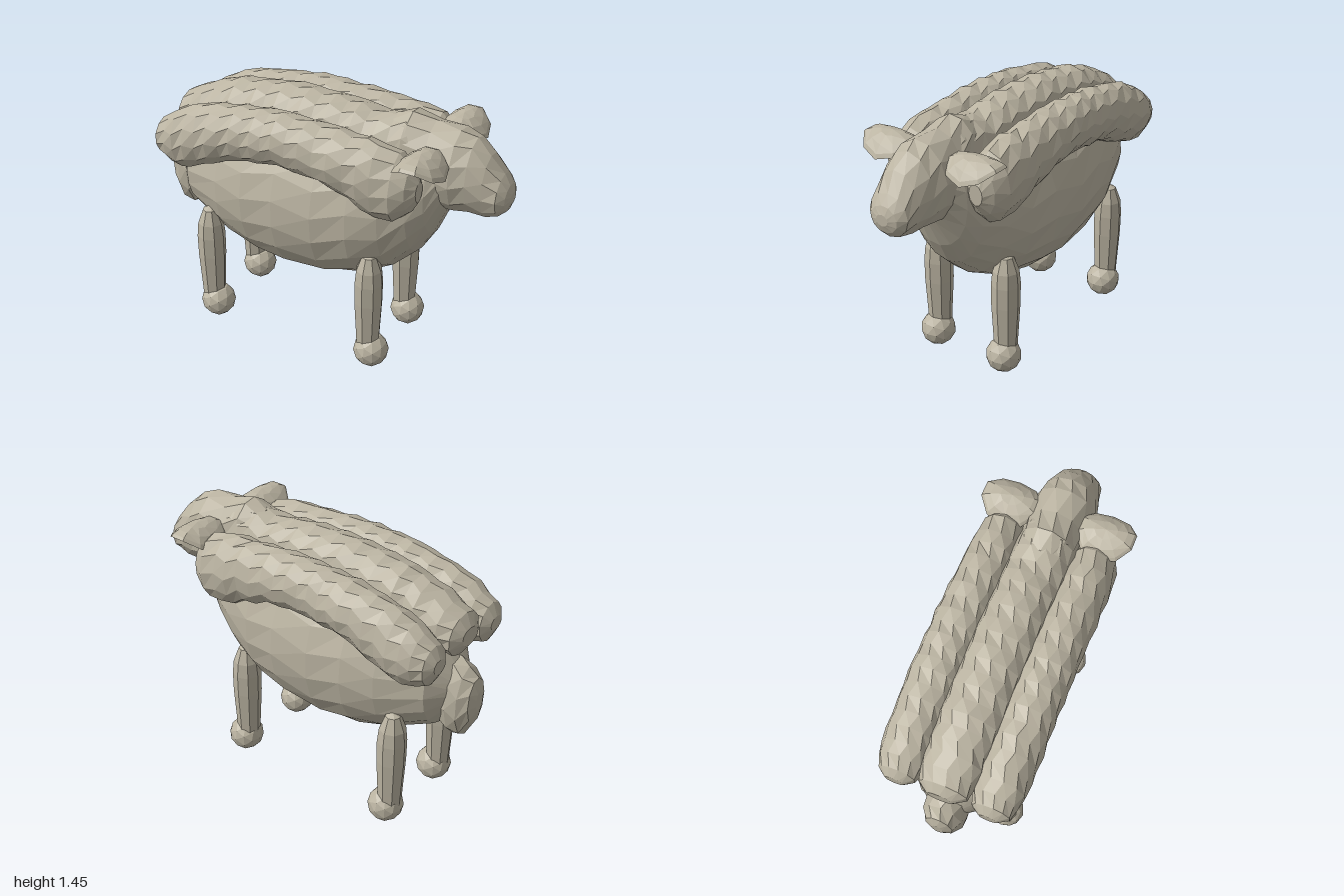
import * as THREE from 'three';

const wool = new THREE.MeshStandardMaterial({ color: 0xbbb4a2, flatShading: true });
wool.name = 'warm grey';

// Skin elliptical rings along x. Each section: [x, bottom, top, halfWidth]
function loft(sections, sides, zOff = 0, bump = () => 1) {
  const pos = [], idx = [], n = sections.length;
  sections.forEach(([x, lo, hi, w], i) => {
    for (let j = 0; j < sides; j++) {
      const a = ((j + (i % 2) * 0.3) / sides) * Math.PI * 2;
      const k = bump(x, a);
      pos.push(x, (lo + hi) / 2 + Math.cos(a) * k * (hi - lo) / 2, zOff + Math.sin(a) * w * k);
    }
  });
  for (let i = 0; i < n - 1; i++) {
    for (let j = 0; j < sides; j++) {
      const a = i * sides + j, b = i * sides + (j + 1) % sides;
      idx.push(a, b, a + sides, b, b + sides, a + sides);
    }
  }
  // end caps
  for (const e of [0, n - 1]) {
    const c = pos.length / 3, [x, lo, hi] = sections[e];
    pos.push(x, (lo + hi) / 2, zOff);
    for (let j = 0; j < sides; j++) {
      const a = e * sides + j, b = e * sides + (j + 1) % sides;
      if (e === 0) idx.push(c, b, a); else idx.push(c, a, b);
    }
  }
  const g = new THREE.BufferGeometry();
  g.setAttribute('position', new THREE.Float32BufferAttribute(pos, 3));
  g.setIndex(idx);
  g.computeVertexNormals();
  return g;
}

// Insert rings between key sections for the lumpy fleece
function refine(keys, step) {
  const out = [];
  for (let i = 0; i < keys.length - 1; i++) {
    const m = Math.max(1, Math.round((keys[i + 1][0] - keys[i][0]) / step));
    for (let k = 0; k < m; k++) out.push(keys[i].map((v, c) => v + (keys[i + 1][c] - v) * k / m));
  }
  out.push(keys[keys.length - 1]);
  return out;
}

export function createModel() {
  const root = new THREE.Group();
  root.name = 'sheep';
  const add = (name, geometry) => {
    const m = new THREE.Mesh(geometry, wool);
    m.name = name;
    root.add(m);
    return m;
  };

  // Barrel body rising into the chest
  add('body', loft([
    [-0.89, 0.74, 0.96, 0.09], [-0.8, 0.6, 1.1, 0.2], [-0.56, 0.48, 1.2, 0.29],
    [-0.38, 0.425, 1.26, 0.33], [-0.18, 0.4, 1.28, 0.348], [0.05, 0.42, 1.28, 0.348],
    [0.24, 0.465, 1.28, 0.325], [0.4, 0.55, 1.3, 0.285], [0.53, 0.67, 1.32, 0.235],
    [0.61, 0.8, 1.34, 0.2], [0.68, 0.96, 1.34, 0.15]], 18));

  // Head and muzzle
  add('head', loft([
    [0.36, 1.15, 1.41, 0.11], [0.46, 1.04, 1.45, 0.15], [0.58, 0.95, 1.42, 0.165],
    [0.72, 0.965, 1.41, 0.172], [0.8, 0.975, 1.38, 0.152], [0.88, 0.97, 1.31, 0.132],
    [0.95, 0.995, 1.22, 0.118], [0.985, 1.03, 1.17, 0.08], [1.0, 1.07, 1.13, 0.035]], 12));

  // Three lumpy fleece rolls
  const lumps = (phase) => (x, a) =>
    1 + 0.035 * Math.sin(x * 43 + phase + 1.3 * Math.sin(a * 2)) + 0.015 * Math.sin(a * 3 + x * 17);
  add('backFleece', loft(refine([
    [-0.92, 1.1, 1.2, 0.07], [-0.88, 1.04, 1.26, 0.13], [-0.74, 1.03, 1.33, 0.155],
    [-0.55, 1.08, 1.395, 0.16], [-0.2, 1.13, 1.435, 0.16], [0.1, 1.12, 1.425, 0.16],
    [0.3, 1.1, 1.4, 0.16], [0.45, 1.08, 1.43, 0.155], [0.58, 1.1, 1.41, 0.13],
    [0.66, 1.15, 1.37, 0.08]], 0.07), 12, 0, lumps(0)));
  for (const s of [1, -1]) {
    add(s > 0 ? 'fleeceRight' : 'fleeceLeft', loft(refine([
      [-0.915, 1.06, 1.14, 0.05], [-0.88, 0.99, 1.2, 0.1], [-0.76, 0.935, 1.28, 0.135],
      [-0.62, 0.98, 1.33, 0.137], [-0.4, 1.07, 1.37, 0.137], [-0.15, 1.1, 1.39, 0.135],
      [0.08, 1.08, 1.38, 0.135], [0.25, 1.02, 1.37, 0.135], [0.4, 0.95, 1.36, 0.137],
      [0.5, 0.96, 1.33, 0.125], [0.57, 1.02, 1.27, 0.09], [0.61, 1.09, 1.2, 0.04]], 0.07),
      12, s * 0.247, lumps(s * 0.6)));
  }

  // Hanging tail
  add('tail', loft([
    [-1.0, 0.74, 0.86, 0.03], [-0.98, 0.66, 0.93, 0.075], [-0.93, 0.57, 0.98, 0.11],
    [-0.87, 0.56, 1.01, 0.118], [-0.81, 0.6, 1.01, 0.1], [-0.74, 0.72, 0.95, 0.05]], 10));

  // Drooping, hollow-bottomed ears
  for (const s of [1, -1]) {
    const g = new THREE.SphereGeometry(1, 10, 8);
    const p = g.attributes.position;
    for (let i = 0; i < p.count; i++) {
      const x = p.getX(i) * 0.135, y = p.getY(i), z = p.getZ(i) * 0.16;
      p.setXYZ(i, x, y * (y < 0 ? 0.012 : 0.035) - 4.3 * x * x, z);
    }
    const ear = add(s > 0 ? 'earRight' : 'earLeft', g);
    ear.position.set(0.615, 1.325, s * 0.255);
    ear.rotation.x = -s * 0.04;
  }

  // Legs with knobby feet
  const legProfile = [[0.001, 0.06], [0.06, 0.08], [0.066, 0.2], [0.077, 0.4], [0.078, 0.52],
    [0.07, 0.6], [0.04, 0.68], [0.001, 0.7]].map(([r, y]) => new THREE.Vector2(r, y));
  for (const [name, x, footX] of [['front', 0.335, 0.355], ['hind', -0.645, -0.62]]) {
    for (const s of [1, -1]) {
      const side = s > 0 ? 'Right' : 'Left';
      const leg = add(name + 'Leg' + side, new THREE.LatheGeometry(legProfile, 8));
      leg.position.set(x, 0, s * 0.222);
      const foot = add(name + 'Foot' + side, new THREE.IcosahedronGeometry(0.096, 1));
      foot.position.set(footX, 0.096, s * 0.222);
    }
  }
  return root;
}
